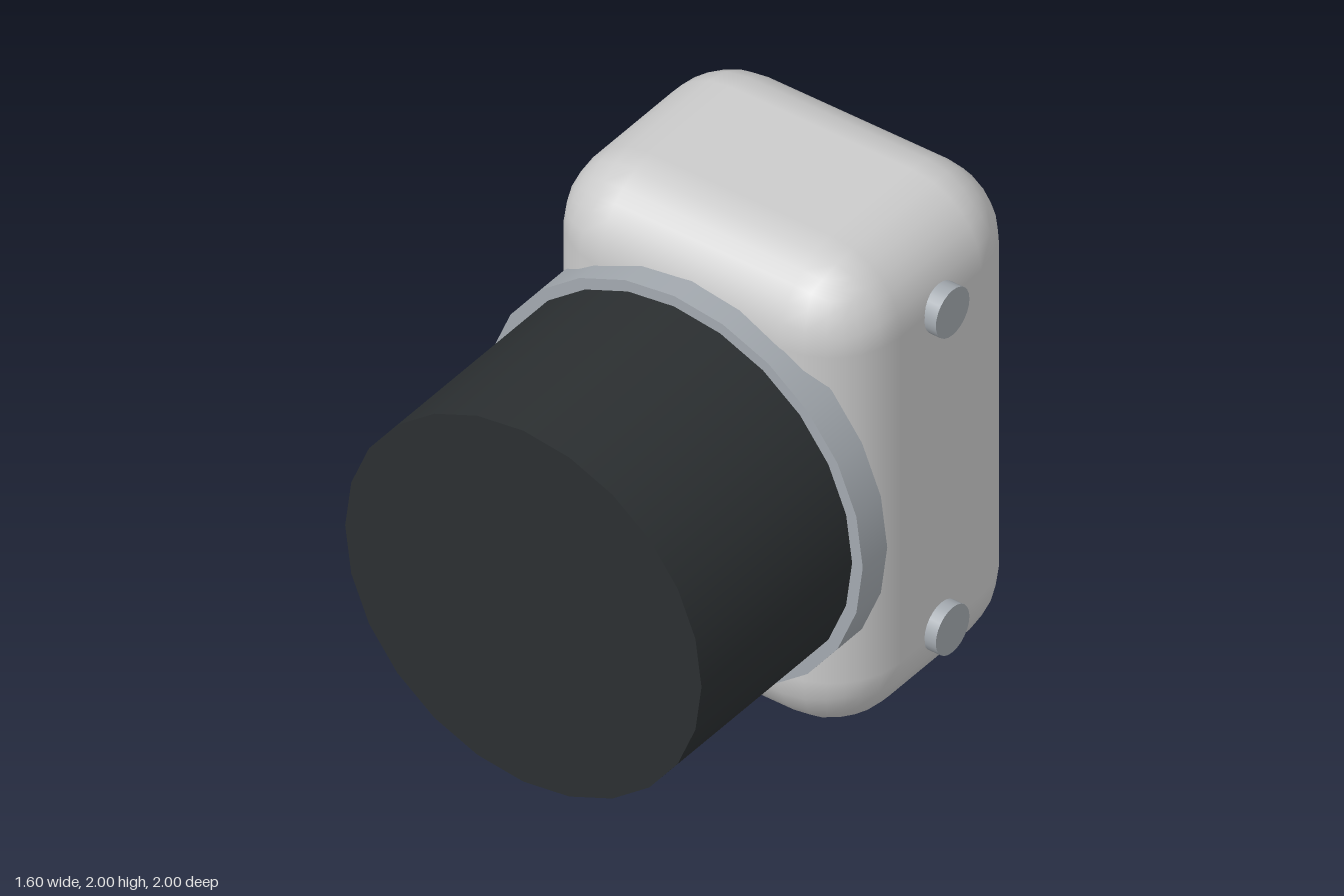
import * as THREE from 'three';
import { RoundedBoxGeometry } from 'three/addons/geometries/RoundedBoxGeometry.js';

const material = (color) => new THREE.MeshStandardMaterial({ color });

export function createModel() {
  const model = new THREE.Group();
  const metal = material(0xa3a9af);
  const black = material(0x2b2f31);

  const add = (name, geometry, mat, x, y, z) => {
    const mesh = new THREE.Mesh(geometry, mat);
    mesh.name = name;
    mesh.position.set(x, y, z);
    model.add(mesh);
    return mesh;
  };

  // Rounded housing
  add('housing', new RoundedBoxGeometry(1.36, 2, 1.055, 3, 0.3), material(0xcccccc), 0, 1, -0.4725);

  // Cylinders along the z axis: mounting ring and barrel
  const disc = (name, radius, z0, z1, mat) => {
    const geometry = new THREE.CylinderGeometry(radius, radius, z1 - z0, 24);
    geometry.rotateX(Math.PI / 2);
    add(name, geometry, mat, 0, 1, (z0 + z1) / 2);
  };
  disc('mountingRing', 0.8, 0, 0.14, metal);
  disc('barrel', 0.755, 0.14, 1, black);

  // Two round buttons on the left side
  for (const [name, y] of [['upperButton', 1.685], ['lowerButton', 0.32]]) {
    const geometry = new THREE.CylinderGeometry(0.096, 0.096, 0.06, 24);
    geometry.rotateZ(-Math.PI / 2);
    add(name, geometry, metal, 0.698, y, -0.47);
  }

  return model;
}
